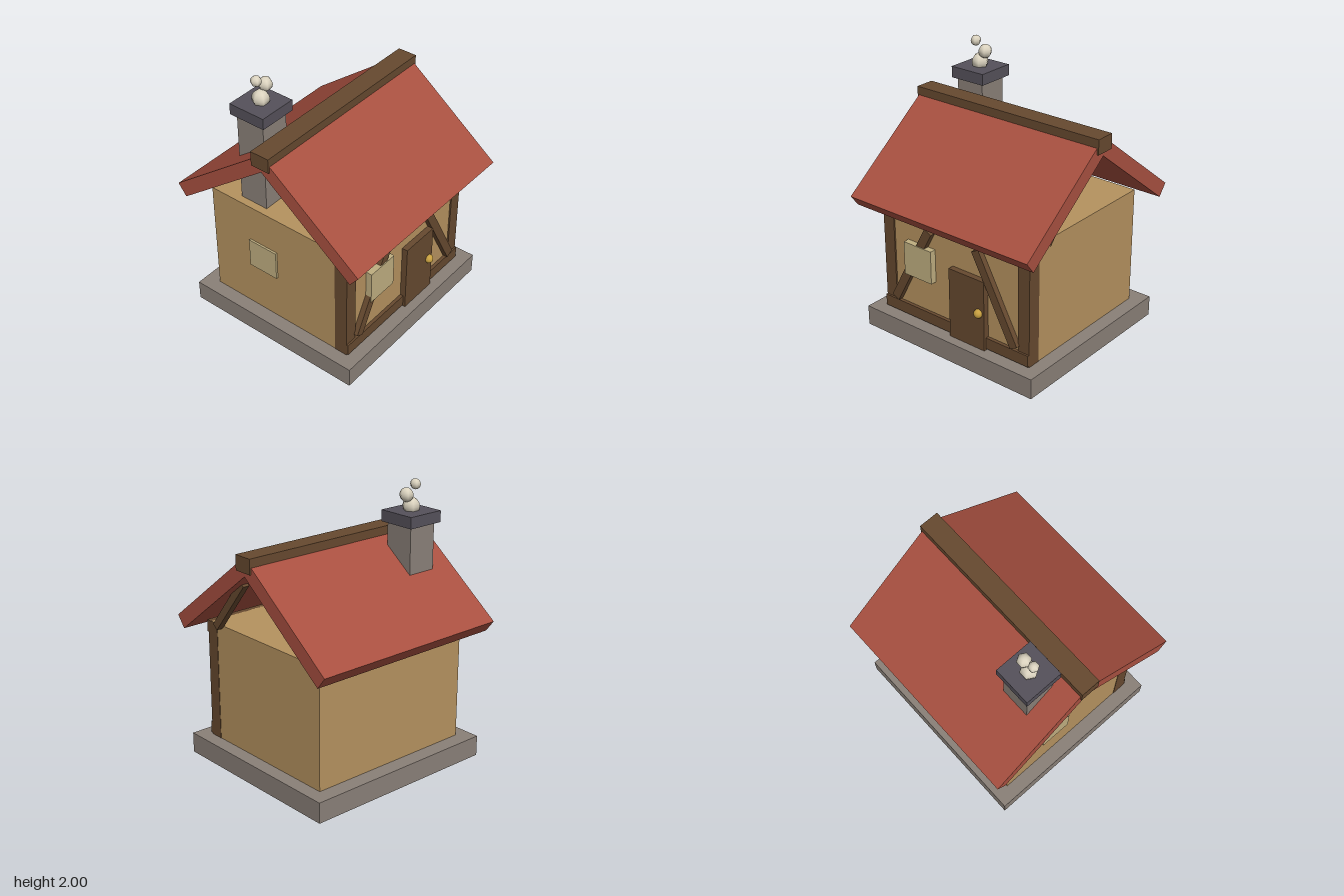
import * as THREE from 'three';

const mat = (color) => new THREE.MeshStandardMaterial({ color, flatShading: true });
const smooth = (color) => new THREE.MeshStandardMaterial({ color });

export function createModel() {
  const house = new THREE.Group();
  house.name = 'cottage';

  const stone = mat(0x8a8078), plaster = mat(0xb5925f), timber = mat(0x66492f);
  const tile = mat(0xa85040), slate = mat(0x55515a), glass = mat(0xbfae80);
  const brass = smooth(0xc8a040), smoke = smooth(0xdcd4c0);

  const add = (name, geometry, material, x, y, z) => {
    const mesh = new THREE.Mesh(geometry, material);
    mesh.name = name;
    mesh.position.set(x, y, z);
    house.add(mesh);
    return mesh;
  };
  // Box given by its lower and upper limits on each axis
  const block = (name, material, [x0, x1], [y0, y1], [z0, z1]) =>
    add(name, new THREE.BoxGeometry(x1 - x0, y1 - y0, z1 - z0), material,
      (x0 + x1) / 2, (y0 + y1) / 2, (z0 + z1) / 2);

  // Base and walls
  block('foundation', stone, [-0.75, 0.75], [0, 0.15], [-0.7, 0.7]);
  block('walls', plaster, [-0.648, 0.648], [0.15, 1.025], [-0.585, 0.585]);

  // Timber frame on the front
  block('sillBeam', timber, [-0.65, 0.65], [0.16, 0.245], [0.53, 0.61]);
  block('topBeam', timber, [-0.65, 0.65], [0.937, 1.025], [0.53, 0.61]);
  for (const s of [-1, 1]) {
    block('cornerPost', timber, s < 0 ? [-0.651, -0.555] : [0.555, 0.651], [0.15, 1.024], [0.495, 0.596]);
    const brace = add('frontBrace', new THREE.BoxGeometry(0.066, 0.7, 0.06), timber, s * 0.375, 0.578, 0.595);
    brace.rotation.z = s * 0.49;
  }

  // Slanted strut in the open gable
  const strut = add('gableStrut', new THREE.BoxGeometry(0.05, 0.5, 0.055), timber, 0.67, 1.215, 0.3);
  strut.rotation.x = -0.68;

  // Door, knob and windows
  block('door', timber, [-0.02, 0.29], [0.15, 0.68], [0.57, 0.629]);
  add('doorKnob', new THREE.SphereGeometry(0.033, 10, 8), brass, 0.245, 0.43, 0.636);
  block('frontWindow', glass, [-0.43, -0.18], [0.5, 0.75], [0.57, 0.632]);
  block('sideWindow', glass, [-0.663, -0.62], [0.515, 0.74], [-0.25, -0.01]);

  // Roof: chevron section in (z, y), drawn along x
  const section = new THREE.Shape([
    [-0.782, 1.045], [-0.716, 0.96], [0, 1.51], [0.716, 0.96], [0.782, 1.045], [0, 1.642],
  ].map(([z, y]) => new THREE.Vector2(z, y)));
  const roof = new THREE.ExtrudeGeometry(section, { depth: 1.55, bevelEnabled: false });
  roof.translate(0, 0, -0.775).rotateY(Math.PI / 2);
  add('roof', roof, tile, 0, 0, 0);
  block('ridgeBeam', timber, [-0.787, 0.787], [1.54, 1.648], [-0.073, 0.073]);

  // Chimney with cap and smoke puffs
  block('chimney', stone, [-0.59, -0.365], [1.0, 1.71], [-0.363, -0.139]);
  block('chimneyCap', slate, [-0.62, -0.334], [1.703, 1.785], [-0.395, -0.108]);
  for (const [x, y, r] of [[-0.478, 1.815, 0.062], [-0.43, 1.9, 0.05], [-0.515, 1.962, 0.038]]) {
    add('smokePuff', new THREE.SphereGeometry(r, 6, 8), smoke, x, y, -0.25);
  }

  return house;
}
